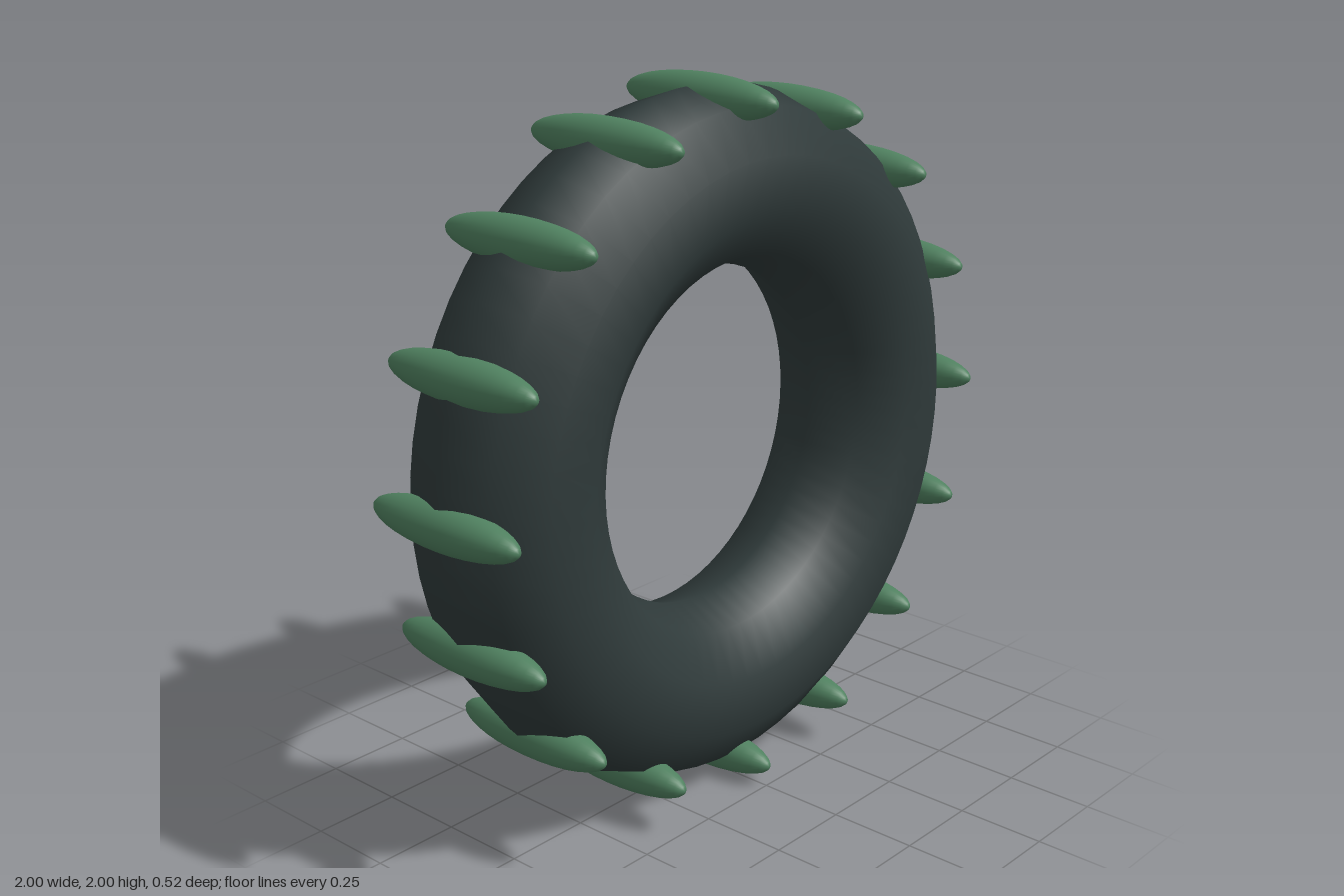
import * as THREE from 'three';

export function createModel() {
  const group = new THREE.Group();
  const rubber = new THREE.MeshStandardMaterial({ color: 0x2f3a3a });
  const green = new THREE.MeshStandardMaterial({ color: 0x4f805f });

  // Tyre ring: ten-sided tube, smooth shaded
  const tyre = new THREE.Mesh(new THREE.TorusGeometry(0.725, 0.245, 10, 64), rubber);
  tyre.name = 'tyre';
  tyre.position.y = 1;
  group.add(tyre);

  // Tread lugs: ellipsoids lying across the tyre, poles along z
  const lugGeometry = new THREE.SphereGeometry(1, 24, 16);
  lugGeometry.rotateX(Math.PI / 2);
  lugGeometry.scale(0.0625, 0.0625, 0.26);
  const treads = new THREE.Group();
  treads.name = 'treadLugs';
  const count = 16;
  for (let i = 0; i < count; i++) {
    const a = (i / count) * Math.PI * 2;
    const lug = new THREE.Mesh(lugGeometry, green);
    lug.name = 'treadLug';
    lug.position.set(Math.cos(a) * 0.9375, 1 + Math.sin(a) * 0.9375, 0);
    lug.rotation.z = a;
    treads.add(lug);
  }
  group.add(treads);
  return group;
}
